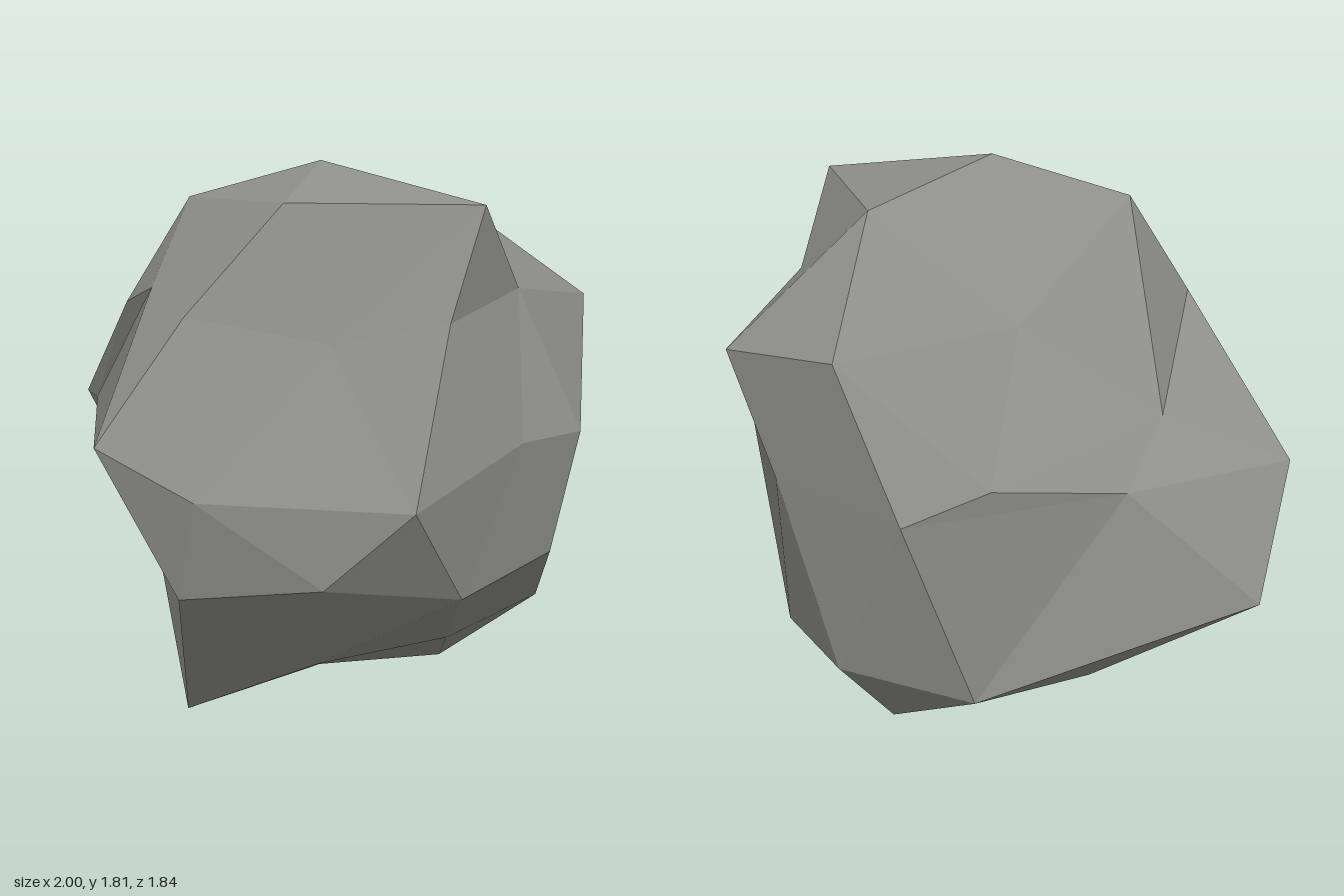
import * as THREE from 'three';

// Rings of an irregular boulder, each running from +x towards +z
const top = [0.175, 1.81, 0.05];
const crown = [[0.775, 1.685, -0.14], [0.315, 1.685, 0.3], [-0.195, 1.685, 0.32], [-0.2, 1.375, -0.22], [0.315, 1.685, -0.385]];
const shoulder = [[0.835, 1.335, 0.05], [0.205, 1.335, 0.605], [-0.31, 1.335, 0.5], [-0.47, 1.025, -0.63], [0.41, 1.335, -0.92]];
const shoulderMid = [[0.565, 1.26, 0.3], [-0.055, 1.405, 0.56], [-0.58, 1.095, 0.05], [-0.055, 1.405, -0.885], [0.66, 1.405, -0.385]];
const waist = [
  [1, 0.805, 0.315], [0.48, 0.805, 0.755], [0.175, 0.948, 0.92], [-0.73, 0.948, 0.375], [-0.9, 0.948, 0.315],
  [-0.665, 0.94, -0.22], [-0.335, 0.948, -0.885], [0.21, 0.948, -0.91], [0.83, 0.948, -0.51], [0.887, 0.948, -0.21],
];
const hip = [[0.8, 0.56, 0.505], [-0.07, 0.56, 0.41], [-1, 0.56, 0.05], [-0.05, 0.35, -0.905], [0.81, 0.56, -0.405]];
const hipMid = [[0.4, 0.49, 0.76], [-0.82, 0.49, 0.1], [-0.43, 0.275, -0.67], [0.403, 0.285, -0.725], [0.91, 0.49, 0.055]];
const foot = [[0.535, 0.245, 0.325], [0.03, 0, 0.49], [-0.285, 0, 0.05], [0.03, 0, -0.6], [0.54, 0.245, -0.2]];
const base = [0.173, 0.11, 0.05];

export function createModel() {
  const positions = [];
  const face = (...corners) => corners.forEach((p) => positions.push(...p));

  // One large facet split into four by the points on its edges
  const facet = (a, b, c, ab, bc, ca) => {
    face(a, ab, ca);
    face(ab, b, bc);
    face(ca, bc, c);
    face(ab, bc, ca);
  };

  // Five sectors, each with a cap, two side and one underside facet
  for (let k = 0; k < 5; k++) {
    const n = (k + 1) % 5;
    facet(top, shoulder[n], shoulder[k], crown[n], shoulderMid[k], crown[k]);
    facet(shoulder[k], shoulder[n], hip[k], shoulderMid[k], waist[2 * k + 1], waist[2 * k]);
    facet(hip[k], shoulder[n], hip[n], waist[2 * k + 1], waist[2 * n], hipMid[k]);
    facet(base, hip[k], hip[n], foot[k], hipMid[k], foot[n]);
  }

  const geometry = new THREE.BufferGeometry();
  geometry.setAttribute('position', new THREE.Float32BufferAttribute(positions, 3));
  geometry.computeVertexNormals();

  const stone = new THREE.MeshStandardMaterial({ color: 0x8e8e88 });
  stone.name = 'stone grey';
  stone.flatShading = true;

  const rock = new THREE.Mesh(geometry, stone);
  rock.name = 'rock';

  const model = new THREE.Group();
  model.name = 'boulder';
  model.add(rock);
  return model;
}
